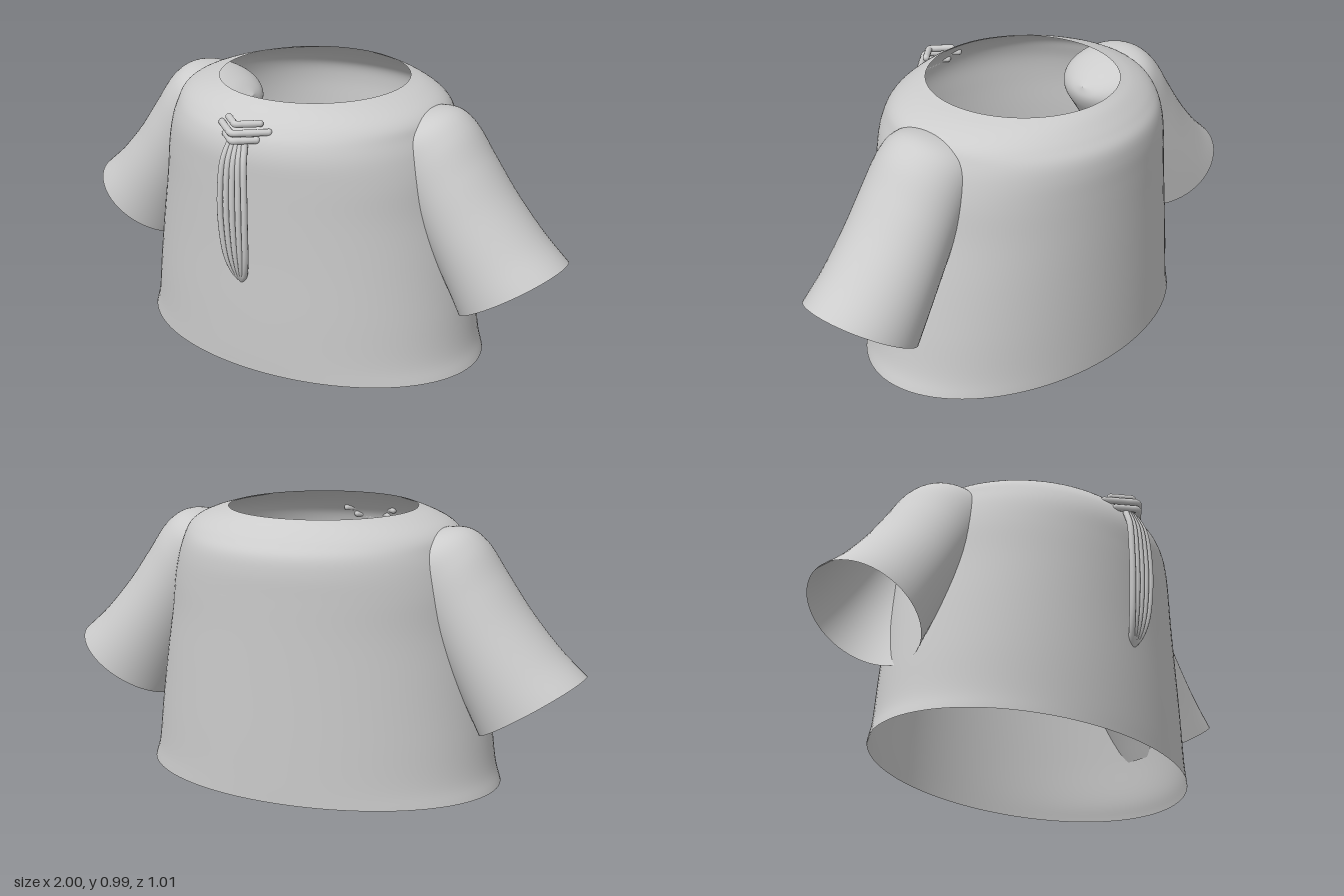
import * as THREE from 'three';

const cloth = new THREE.MeshStandardMaterial({ color: 0xcccccc, side: THREE.DoubleSide });
cloth.name = 'grey cloth';

// Smooth open skin through elliptical rings, each with a centre and two half axes
function loft(rings, steps, sides) {
  const curve = (key) => new THREE.CatmullRomCurve3(rings.map((r) => r[key]), false, 'catmullrom', 0.5);
  const [centre, axisA, axisB] = ['c', 'a', 'b'].map(curve);
  const positions = [], index = [];
  for (let i = 0; i <= steps; i++) {
    const t = i / steps;
    const c = centre.getPoint(t), a = axisA.getPoint(t), b = axisB.getPoint(t);
    for (let j = 0; j < sides; j++) {
      const angle = (j / sides) * Math.PI * 2;
      const p = c.clone().addScaledVector(a, Math.cos(angle)).addScaledVector(b, Math.sin(angle));
      positions.push(p.x, p.y, p.z);
      if (i < steps) {
        const k = i * sides + j, n = i * sides + ((j + 1) % sides);
        index.push(k, k + sides, n, n, k + sides, n + sides);
      }
    }
  }
  const geometry = new THREE.BufferGeometry();
  geometry.setAttribute('position', new THREE.Float32BufferAttribute(positions, 3));
  geometry.setIndex(index);
  geometry.computeVertexNormals();
  return geometry;
}

const v = (x, y, z) => new THREE.Vector3(x, y, z);

function add(parent, name, geometry) {
  const mesh = new THREE.Mesh(geometry, cloth);
  mesh.name = name;
  parent.add(mesh);
}

// Rounded cord along points
function cord(parent, name, points, radius) {
  const path = new THREE.CatmullRomCurve3(points);
  add(parent, name, new THREE.TubeGeometry(path, 28, radius, 10));
  for (const end of [points[0], points[points.length - 1]]) {
    const cap = new THREE.SphereGeometry(radius, 10, 8);
    cap.translate(end.x, end.y, end.z);
    add(parent, name + 'End', cap);
  }
}

export function createModel() {
  const model = new THREE.Group();
  model.name = 'shirt';

  // Body: height, half width, front z, back z
  const body = [
    [0, 0.685, 0.443, -0.49], [0.08, 0.662, 0.446, -0.492], [0.24, 0.641, 0.449, -0.495],
    [0.43, 0.612, 0.451, -0.498], [0.6, 0.582, 0.455, -0.501], [0.73, 0.564, 0.458, -0.504],
    [0.82, 0.542, 0.458, -0.505], [0.88, 0.52, 0.443, -0.495], [0.92, 0.503, 0.415, -0.465],
    [0.95, 0.468, 0.385, -0.435], [0.975, 0.41, 0.352, -0.405], [0.993, 0.345, 0.322, -0.373],
  ].map(([y, w, front, back]) => ({
    c: v(0, y, (front + back) / 2), a: v(w, 0, 0), b: v(0, 0, (front - back) / 2),
  }));
  add(model, 'body', loft(body, 66, 96));

  // Sleeves, cuff to closed inner end: outer x, y, inner x, y, half depth, centre z
  const sleeve = [
    [1.0, 0.455, 0.635, 0.22, 0.207, -0.05], [0.9, 0.545, 0.585, 0.32, 0.202, -0.049],
    [0.79, 0.67, 0.52, 0.44, 0.197, -0.046], [0.7, 0.795, 0.45, 0.56, 0.192, -0.043],
    [0.625, 0.9, 0.39, 0.65, 0.187, -0.042], [0.55, 0.947, 0.34, 0.72, 0.178, -0.042],
    [0.45, 0.94, 0.305, 0.77, 0.15, -0.045], [0.36, 0.9, 0.29, 0.81, 0.085, -0.05],
    [0.295, 0.85, 0.295, 0.85, 0.001, -0.05],
  ];
  for (const [name, s] of [['leftSleeve', 1], ['rightSleeve', -1]]) {
    const rings = sleeve.map(([ox, oy, ix, iy, depth, z]) => ({
      c: v((s * (ox + ix)) / 2, (oy + iy) / 2, z),
      a: v((s * (ox - ix)) / 2, (oy - iy) / 2, 0),
      b: v(0, 0, s * depth),
    }));
    add(model, name, loft(rings, 56, 56));
  }

  // Tassel: stacked bent cords over a bundle of bowed strands
  const tassel = new THREE.Group();
  tassel.name = 'tassel';
  model.add(tassel);
  for (const [y, w, z] of [[0.94, 0.065, 0.464], [0.914, 0.098, 0.486], [0.887, 0.065, 0.486]]) {
    const back = z - w * 0.78;
    cord(tassel, 'knotCord', [v(-w, y, back), v(-w * 0.4, y, z - w * 0.28), v(0, y, z),
      v(w * 0.4, y, z - w * 0.28), v(w, y, back)], 0.0125);
  }
  for (let i = -2; i <= 2; i++) {
    const x = i * 0.025;
    cord(tassel, 'strand', [v(x * 0.6, 0.875, 0.455), v(x * 0.85, 0.81, 0.482), v(x, 0.7, 0.493),
      v(x, 0.58, 0.493), v(x * 0.8, 0.45, 0.479), v(x * 0.4, 0.38, 0.458), v(0, 0.353, 0.442)], 0.0115);
  }
  return model;
}
